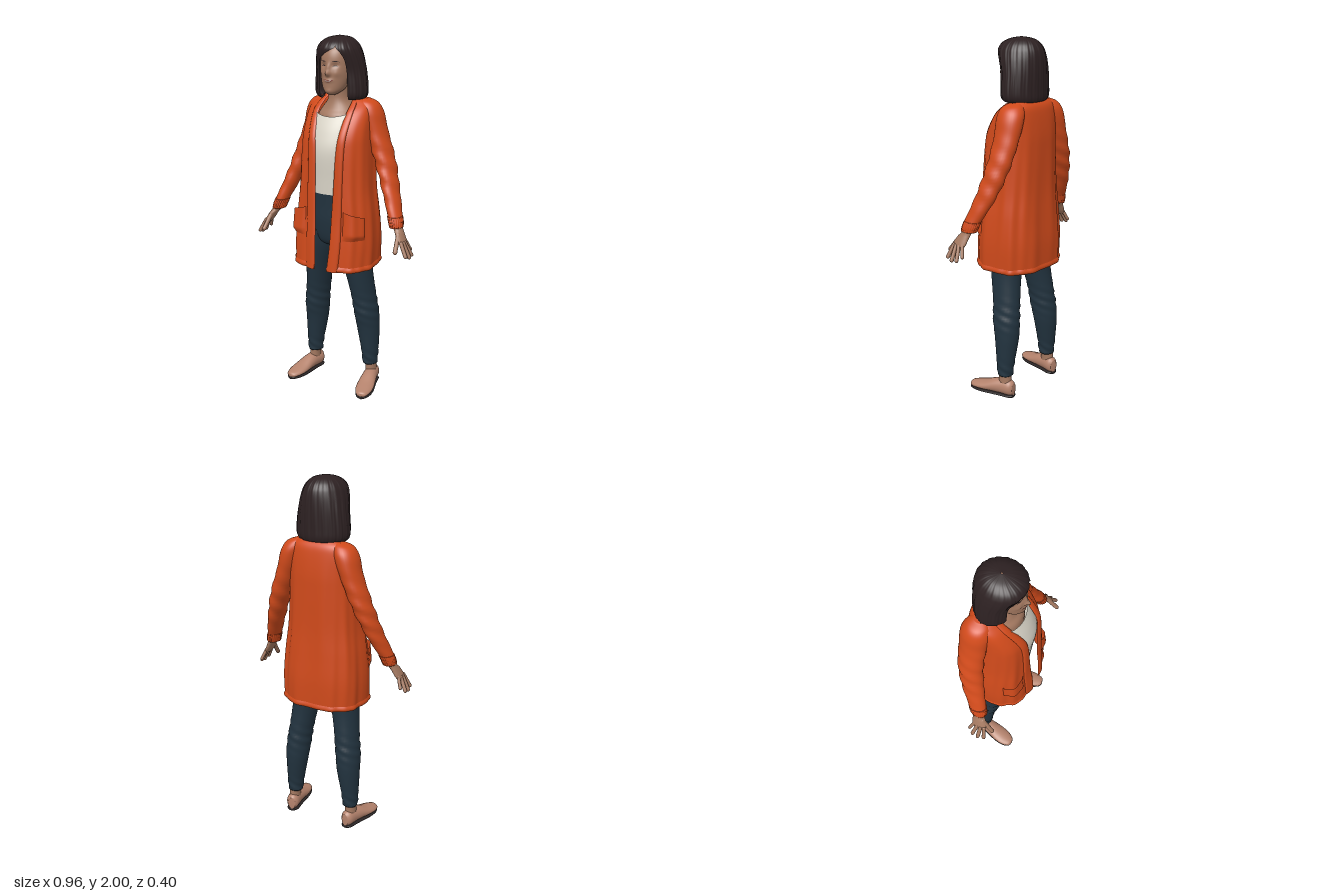
import * as THREE from 'three';
import { mergeVertices } from 'three/addons/utils/BufferGeometryUtils.js';

const mat = (name, color, side = THREE.FrontSide) => {
  const m = new THREE.MeshStandardMaterial({ color, side });
  m.name = name;
  return m;
};

// Smooth surface from a rule fn(u, v) -> [x, y, z]
function grid(fn, nu, nv) {
  const pos = [], idx = [];
  for (let j = 0; j <= nv; j++)
    for (let i = 0; i <= nu; i++) pos.push(...fn(i / nu, j / nv));
  for (let j = 0; j < nv; j++)
    for (let i = 0; i < nu; i++) {
      const a = j * (nu + 1) + i, d = a + nu + 1;
      idx.push(a, a + 1, d + 1, a, d + 1, d);
    }
  let g = new THREE.BufferGeometry();
  g.setAttribute('position', new THREE.Float32BufferAttribute(pos, 3));
  g.setIndex(idx);
  g = mergeVertices(g, 1e-4);
  g.computeVertexNormals();
  return g;
}

// Catmull-Rom blend of a table of cross-sections
function rowAt(rows, v) {
  const n = rows.length - 1, f = Math.min(Math.max(v, 0), 1) * n;
  const i = Math.min(Math.floor(f), n - 1), t = f - i;
  const r = k => rows[Math.min(Math.max(k, 0), n)];
  return rows[0].map((_, c) => {
    const a = r(i - 1)[c], b = r(i)[c], d = r(i + 1)[c], e = r(i + 2)[c];
    return b + 0.5 * t * (d - a + t * (2 * a - 5 * b + 4 * d - e + t * (3 * (b - d) + e - a)));
  });
}
function vAt(rows, y) {
  let lo = 0, hi = 1;
  for (let k = 0; k < 24; k++) {
    const m = (lo + hi) / 2;
    if (rowAt(rows, m)[0] < y) lo = m; else hi = m;
  }
  return lo;
}

// Closed tube of ellipses; rows are [y, x, z, rx, rz]
function loft(rows, { s = 1, nu = 32, nv = rows.length * 5, cap = true, shape = null } = {}) {
  return grid((u, v) => {
    const j = Math.round(v * (nv + 2));
    const k = cap && (j === 0 || j === nv + 2) ? 0 : 1;
    const [y, x, z, rx, rz] = rowAt(rows, (j - 1) / nv);
    const a = u * Math.PI * 2;
    const p = [x * s + k * rx * Math.sin(a), y, z + k * rz * Math.cos(a)];
    return shape ? shape(p, a) : p;
  }, nu, nv + 2);
}

// Shell open at the front; rows are [y, rx, zFront, zBack, leftEdgeX, rightEdgeX]
function shellPoint(rows, u, v, p, ripple, off = 0) {
  const [y, rx, zf, zb, xl, xr] = rowAt(rows, v);
  const pw = (q, e) => Math.sign(q) * Math.abs(q) ** e;
  const edge = x => Math.asin(pw(Math.min(Math.max(x / rx, -1), 1), 1 / p));
  const a0 = edge(xl), a1 = Math.PI * 2 + edge(xr), a = a0 + (a1 - a0) * u;
  const zc = (zf + zb) / 2, k = 1 + ripple(a, y);
  return [(rx * k + off) * pw(Math.sin(a), p), y, zc + ((zf - zb) / 2 * k + off) * pw(Math.cos(a), p)];
}

const COAT = [
  [0.75, 0.232, 0.19, -0.192, 0.035, -0.035], [0.9, 0.235, 0.182, -0.193, 0.05, -0.035],
  [1.05, 0.225, 0.17, -0.184, 0.055, -0.04], [1.2, 0.207, 0.163, -0.176, 0.062, -0.045],
  [1.4, 0.195, 0.152, -0.174, 0.07, -0.05], [1.5, 0.19, 0.132, -0.172, 0.078, -0.062],
  [1.6, 0.185, 0.07, -0.162, 0.085, -0.08], [1.65, 0.165, 0.012, -0.15, 0.085, -0.08],
  [1.68, 0.115, -0.03, -0.125, 0.072, -0.072], [1.7, 0.078, -0.045, -0.105, 0.062, -0.062]];
const HAIR = [
  [1.7, 0.09, 0.02, -0.11, 0.07, -0.07], [1.67, 0.122, 0.045, -0.14, 0.08, -0.08],
  [1.69, 0.146, 0.062, -0.152, 0.084, -0.084], [1.74, 0.149, 0.066, -0.154, 0.084, -0.084],
  [1.82, 0.14, 0.072, -0.155, 0.082, -0.08], [1.88, 0.13, 0.092, -0.153, 0.078, -0.062],
  [1.92, 0.119, 0.107, -0.148, 0.062, -0.01], [1.945, 0.108, 0.106, -0.139, 0.042, 0.035],
  [1.97, 0.088, 0.085, -0.12, 0.035, 0.035], [1.99, 0.055, 0.042, -0.085, 0.02, 0.02],
  [2.0, 0.004, -0.016, -0.024, 0, 0]];
const HEAD = [
  [1.697, 0, 0.055, 0.015, 0.02], [1.707, 0, 0.052, 0.034, 0.042], [1.73, 0, 0.035, 0.058, 0.066],
  [1.78, 0, 0.015, 0.077, 0.087], [1.84, 0, 0.008, 0.084, 0.092], [1.9, 0, 0, 0.084, 0.094],
  [1.94, 0, -0.01, 0.074, 0.084], [1.97, 0, -0.015, 0.04, 0.05]];
const ARM = [
  [1.02, 0.373, 0.022, 0.033, 0.045], [1.06, 0.362, 0.012, 0.037, 0.048], [1.2, 0.307, -0.04, 0.045, 0.062],
  [1.35, 0.251, -0.075, 0.055, 0.068], [1.5, 0.194, -0.085, 0.058, 0.074], [1.6, 0.162, -0.083, 0.064, 0.078],
  [1.65, 0.14, -0.08, 0.055, 0.06], [1.672, 0.12, -0.08, 0.025, 0.03]];
const LEG = [
  [0.13, 0.185, -0.06, 0.042, 0.045], [0.2, 0.183, -0.06, 0.048, 0.052], [0.35, 0.171, -0.06, 0.064, 0.07],
  [0.45, 0.163, -0.05, 0.069, 0.08], [0.55, 0.15, -0.04, 0.068, 0.081], [0.7, 0.128, -0.02, 0.075, 0.09],
  [0.85, 0.102, -0.01, 0.092, 0.11], [0.95, 0.088, -0.01, 0.095, 0.12]];
// Foot sections run from toe to heel: [-z, x, height, half width, half height]
const SHOE = [
  [-0.158, 0, 0.025, 0.012, 0.008], [-0.148, 0, 0.026, 0.03, 0.016], [-0.11, 0, 0.031, 0.046, 0.021],
  [-0.06, 0, 0.038, 0.05, 0.028], [0, 0, 0.05, 0.044, 0.04], [0.05, 0, 0.055, 0.039, 0.045],
  [0.1, 0, 0.055, 0.037, 0.046], [0.122, 0, 0.05, 0.022, 0.036]];

// Facial relief: [x, y, spread x, spread y, depth]
const RELIEF = [[0, 1.812, 0.014, 0.014, 0.026], [0, 1.84, 0.011, 0.022, 0.012], [0.034, 1.853, 0.018, 0.012, -0.009],
  [-0.034, 1.853, 0.018, 0.012, -0.009], [0.045, 1.812, 0.018, 0.018, 0.006], [-0.045, 1.812, 0.018, 0.018, 0.006],
  [0, 1.776, 0.024, 0.01, 0.007], [0, 1.72, 0.02, 0.012, 0.004]];
const relief = (x, y) => RELIEF.reduce((t, [cx, cy, sx, sy, d]) =>
  t + d * Math.exp(-(((x - cx) / sx) ** 2) - ((y - cy) / sy) ** 2), 0);
function facePoint(x, y, off) {
  const [, , z, rx, rz] = rowAt(HEAD, vAt(HEAD, y));
  return [x, y, z + rz * Math.sqrt(Math.max(0, 1 - (x / rx) ** 2)) + relief(x, y) + off];
}

export function createModel() {
  const model = new THREE.Group();
  const D = THREE.DoubleSide;
  const coat = mat('orange knit', 0xd04a1b, D), skin = mat('skin', 0xa37860), hair = mat('dark brown hair', 0x2d2122, D);
  const denim = mat('navy denim', 0x22333f), shirt = mat('cream cotton', 0xdcd7ca, D), leather = mat('tan leather', 0xb5836d);
  const sole = mat('dark sole', 0x2a2424), lip = mat('lips', 0x84483f, D);
  const add = (name, geo, m, parent = model) => {
    const mesh = new THREE.Mesh(geo, m);
    mesh.name = name;
    parent.add(mesh);
    return mesh;
  };

  // Head and neck
  add('head', loft(HEAD, { nu: 96, nv: 80, shape: ([x, y, z], a) =>
    [x, y, z + (Math.cos(a) > 0 ? relief(x, y) : 0)] }), skin);
  add('neckAndChest', loft([
    [1.5, 0, -0.03, 0.13, 0.12], [1.58, 0, -0.03, 0.12, 0.115], [1.62, 0, -0.03, 0.098, 0.09],
    [1.66, 0, -0.02, 0.064, 0.066], [1.7, 0, -0.015, 0.054, 0.058], [1.76, 0, -0.01, 0.054, 0.06]]), skin);

  // Thin face details: lens shapes laid on the face
  const lens = (name, cx, cy, w, h, bend, m, off = 0.0015) => add(name, grid((u, v) => {
    const t = 2 * u - 1;
    return facePoint(cx + w * t, cy + bend * t * t + h * (2 * v - 1) * (1 - t * t), off);
  }, 16, 4), m);
  lens('lips', 0, 1.773, 0.03, 0.007, 0.007, lip);
  lens('teeth', 0, 1.773, 0.022, 0.0025, 0.005, shirt, 0.003);
  for (const s of [1, -1]) {
    lens('eye', 0.034 * s, 1.851, 0.014, 0.003, -0.002, hair);
    lens('eyebrow', 0.036 * s, 1.874, 0.02, 0.0025, -0.004, hair);
  }

  // Bob with a side parting and swept fringe
  const strands = (a, y) => 0.01 * Math.sin(19 * a + 9 * y) + 0.006 * Math.sin(43 * a);
  add('hair', grid((u, v) => shellPoint(HAIR, u, v, 1, strands), 180, 60), hair);

  // Shirt with a scooped neckline
  add('shirt', loft([
    [1.17, 0, 0, 0.165, 0.143], [1.25, 0, 0, 0.165, 0.148], [1.4, 0, 0, 0.165, 0.158],
    [1.5, 0, -0.01, 0.165, 0.145], [1.585, 0, -0.02, 0.14, 0.118]],
    { nu: 48, cap: false, shape: ([x, y, z]) => [x, y + Math.max(0, y - 1.5) * 22 * x * x, z] }), shirt);

  // Trousers
  add('trouserHips', loft([
    [0.85, 0, -0.01, 0.04, 0.06], [0.89, 0, -0.01, 0.14, 0.115], [1.0, 0, -0.01, 0.18, 0.14],
    [1.1, 0, -0.005, 0.175, 0.14], [1.185, 0, 0, 0.162, 0.14]]), denim);

  // Open cardigan, its edge bands and pockets
  const folds = (a, y) => {
    const low = Math.min(1, Math.max(0, (1.62 - y) / 0.5));
    return low * (0.018 * Math.sin(9 * a + 2 * y) + 0.01 * Math.sin(17 * a - 4 * y));
  };
  const onCoat = (u, v, off) => shellPoint(COAT, u, v, 0.76, folds, off);
  add('cardigan', grid((u, v) => onCoat(u, v, 0), 140, 60), coat);
  const v0 = vAt(COAT, 0.93), v1 = vAt(COAT, 1.09);
  for (const s of [1, -1]) {
    const side = u => (s > 0 ? u : 1 - u);
    const dir = u => (s > 0 ? u : 1 - u);
    const puff = (u, e) => Math.max(0, Math.sin(Math.PI * u)) ** e;
    add('frontBand', grid((u, v) => onCoat(side(0.042 * dir(u)), v, 0.009 * puff(u, 0.3)), 10, 60), coat);
    add('pocket', grid((u, v) => {
      const d = dir(u);
      return onCoat(side(0.05 + 0.12 * d), v0 + (v1 - v0 - 0.03 * d) * v,
        0.001 + 0.017 * puff(u, 0.4) * Math.min(1, 5 * v));
    }, 16, 16), coat);
  }
  add('hemBand', grid((u, v) => onCoat(u, 0.03 * v, 0.006 * Math.sin(Math.PI * v)), 140, 4), coat);

  for (const s of [1, -1]) {
    // Sleeve with gentle creases and a ribbed cuff
    add('sleeve', loft(ARM, { s, nv: 60, shape: ([x, y, z], a) => {
      const c = 0.004 * Math.sin(70 * y + 2 * a) * Math.exp(-(((y - 1.3) / 0.16) ** 2));
      return [x + c * Math.sin(a), y, z + c * Math.cos(a)];
    } }), coat);
    add('cuff', loft([[1.015, 0.374, 0.023, 0.035, 0.047], [1.04, 0.368, 0.017, 0.038, 0.05], [1.07, 0.358, 0.009, 0.039, 0.05]],
      { s, nu: 96, shape: ([x, y, z], a) => {
        const c = 0.0015 * Math.sin(24 * a);
        return [x + c * Math.sin(a), y, z + c * Math.cos(a)];
      } }), coat);

    // Hand: palm and five spread fingers
    const hand = new THREE.Group();
    hand.name = s > 0 ? 'leftHand' : 'rightHand';
    model.add(hand);
    add('palm', loft([
      [0.925, 0.434, 0.05, 0.01, 0.032], [0.95, 0.421, 0.048, 0.018, 0.042], [0.985, 0.402, 0.038, 0.021, 0.037],
      [1.01, 0.387, 0.027, 0.024, 0.03], [1.05, 0.372, 0.018, 0.026, 0.03]], { s }), skin, hand);
    const fingers = [
      [[0.404, 0.985, 0.06], [0.416, 0.905, 0.122], 0.012], [[0.43, 0.945, 0.08], [0.464, 0.88, 0.094], 0.0105],
      [[0.434, 0.942, 0.061], [0.47, 0.869, 0.06], 0.011], [[0.433, 0.942, 0.041], [0.468, 0.873, 0.027], 0.0105],
      [[0.427, 0.95, 0.022], [0.45, 0.893, 0.001], 0.009]];
    fingers.forEach(([a, b, r], i) => {
      const A = new THREE.Vector3(a[0] * s, a[1], a[2]), B = new THREE.Vector3(b[0] * s, b[1], b[2]);
      const f = add(i ? 'finger' : 'thumb', new THREE.CapsuleGeometry(r, A.distanceTo(B), 6, 14), skin, hand);
      f.position.copy(A).lerp(B, 0.5);
      f.quaternion.setFromUnitVectors(new THREE.Vector3(0, 1, 0), B.sub(A).normalize());
    });

    // Trouser leg with creases at knee and ankle
    add('trouserLeg', loft(LEG, { s, nv: 64, shape: ([x, y, z], a) => {
      const near = Math.exp(-(((y - 0.5) / 0.08) ** 2)) + Math.exp(-(((y - 0.17) / 0.05) ** 2));
      const c = 0.003 * near * Math.sin(110 * y + 3 * a);
      return [x + c * Math.sin(a), y, z + c * Math.cos(a)];
    } }), denim);
    add('ankle', loft([[0.06, 0.192, -0.063, 0.032, 0.042], [0.11, 0.19, -0.062, 0.031, 0.038], [0.16, 0.187, -0.06, 0.034, 0.038]], { s }), skin);

    // Slip-on shoe, toes turned out
    const foot = new THREE.Group();
    foot.name = s > 0 ? 'leftFoot' : 'rightFoot';
    foot.position.x = 0.206 * s;
    foot.rotation.y = 0.2 * s;
    model.add(foot);
    add('shoe', loft(SHOE, { nv: 40 }).rotateX(-Math.PI / 2), leather, foot);
    add('sole', loft(SHOE.map(([y, x, , w]) => [y, x, 0.009, w * 0.97, 0.009]), { nv: 40 }).rotateX(-Math.PI / 2), sole, foot);
  }
  return model;
}
